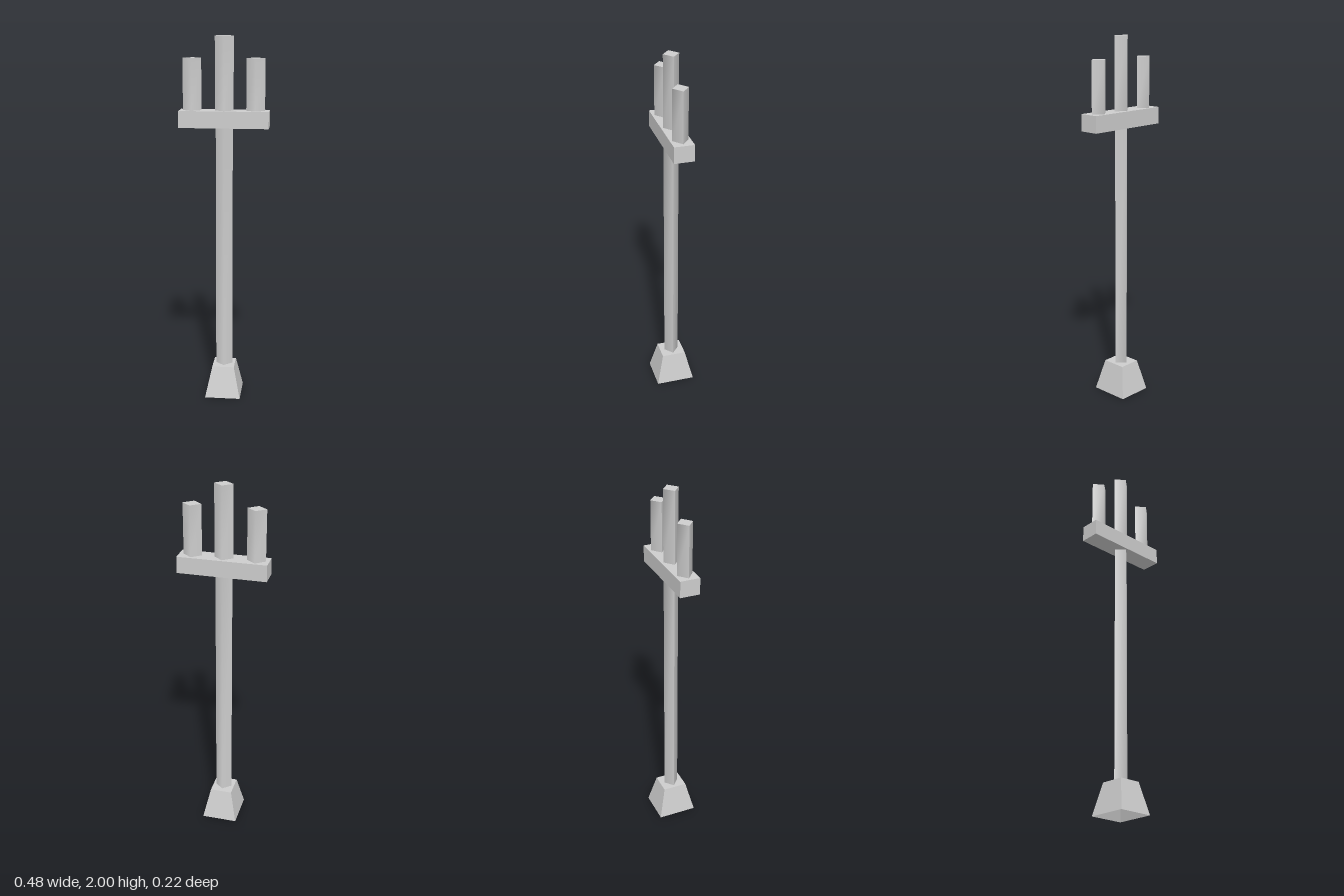
import * as THREE from 'three';
import { toCreasedNormals } from 'three/addons/utils/BufferGeometryUtils.js';

export function createModel() {
  const model = new THREE.Group();
  model.name = 'postWithCrossbar';
  // double sided because the footing is open underneath
  const grey = new THREE.MeshStandardMaterial({ color: 0xcccccc, side: THREE.DoubleSide });
  grey.name = 'lightGrey';

  function add(name, geometry, x = 0, y = 0, z = 0) {
    const mesh = new THREE.Mesh(geometry, grey);
    mesh.name = name;
    mesh.position.set(x, y, z);
    model.add(mesh);
    return mesh;
  }

  // Diamond-section post: soft front and back ridges, sharp side ridges and ends
  function addPost(name, x, bottom, top, halfWidth, halfDepth) {
    const geometry = new THREE.CylinderGeometry(1, 1, top - bottom, 4);
    geometry.scale(halfWidth, 1, halfDepth);
    add(name, toCreasedNormals(geometry, 1.56), x, (bottom + top) / 2);
  }

  // Tapered footing without an underside
  const box = new THREE.BoxGeometry(0.196, 0.172, 0.216);
  const p = box.attributes.position;
  for (let i = 0; i < p.count; i++) {
    if (p.getY(i) > 0) {
      p.setX(i, Math.sign(p.getX(i)) * 0.061);
      p.setZ(i, Math.sign(p.getZ(i)) * 0.067);
    }
  }
  const faces = Array.from(box.index.array);
  faces.splice(18, 6); // drop the bottom face
  box.setIndex(faces);
  box.clearGroups();
  const footing = box.toNonIndexed();
  footing.computeVertexNormals();
  add('footing', footing, 0, 0.086, 0);

  // Pole, crossbar and the three uprights
  addPost('pole', 0, 0.172, 1.52, 0.046, 0.041);
  add('crossbar', new THREE.BoxGeometry(0.48, 0.09, 0.108), 0, 1.565, 0);
  addPost('centreUpright', 0, 1.61, 2, 0.05, 0.042);
  addPost('leftUpright', 0.167, 1.61, 1.885, 0.05, 0.042);
  addPost('rightUpright', -0.172, 1.61, 1.885, 0.05, 0.042);

  return model;
}
